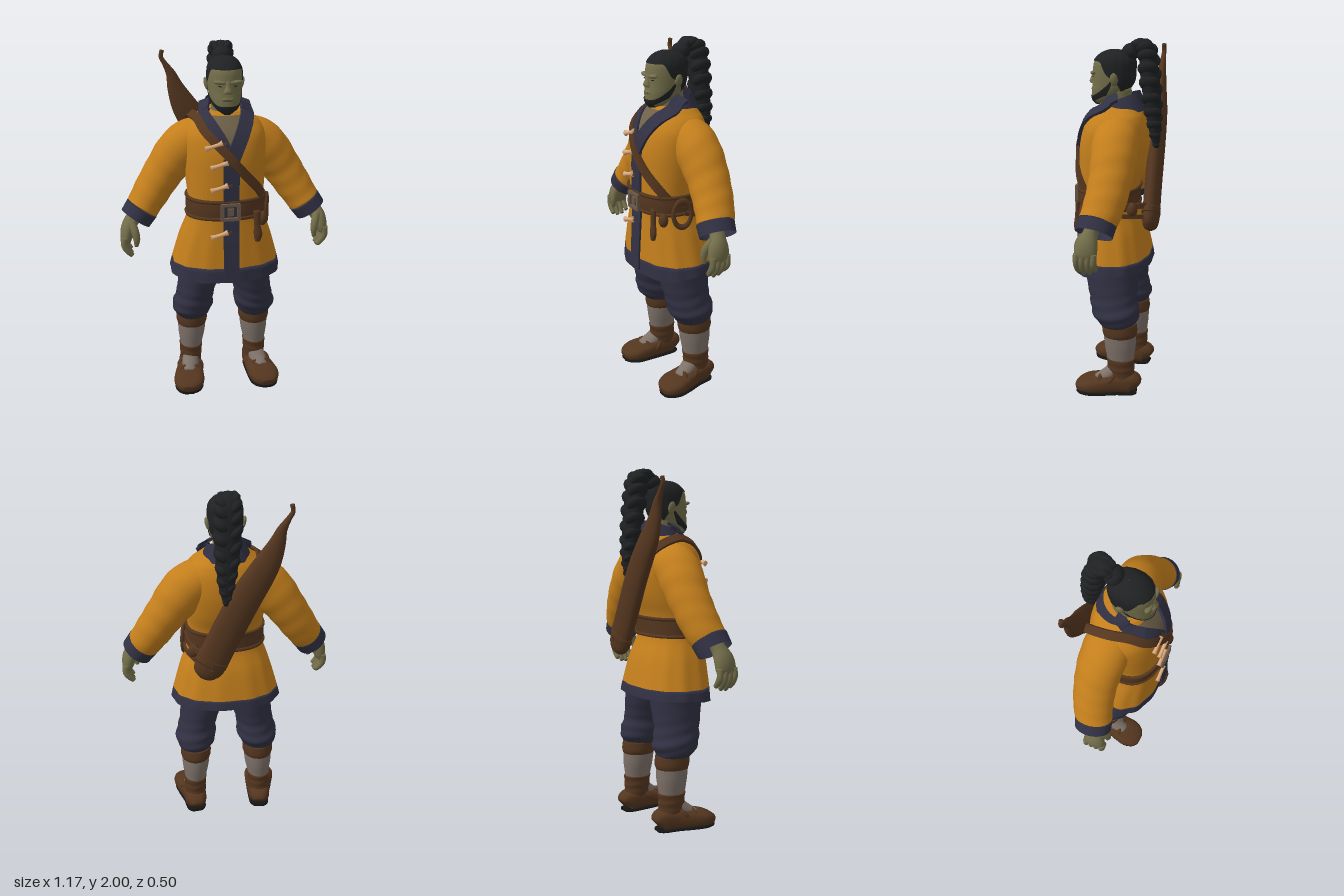
import * as THREE from 'three';
import { mergeVertices } from 'three/addons/utils/BufferGeometryUtils.js';

const V = (x, y, z) => new THREE.Vector3(x, y, z);
const mat = (name, color, side = THREE.FrontSide) => {
  const m = new THREE.MeshStandardMaterial({ color, side });
  m.name = name;
  return m;
};

// Surface from fn(u, v) -> Vector3, welded so that seams stay smooth
function grid(nu, nv, fn) {
  const pos = [], idx = [];
  for (let j = 0; j <= nv; j++) for (let i = 0; i <= nu; i++) pos.push(...fn(i / nu, j / nv, j).toArray());
  for (let j = 0; j < nv; j++) for (let i = 0; i < nu; i++) {
    const a = j * (nu + 1) + i, d = a + nu + 1;
    idx.push(a, a + 1, d + 1, a, d + 1, d);
  }
  let g = new THREE.BufferGeometry();
  g.setAttribute('position', new THREE.Float32BufferAttribute(pos, 3));
  g.setIndex(idx);
  g = mergeVertices(g, 1e-5);
  g.computeVertexNormals();
  return g;
}

// Catmull-Rom refinement of rows of numbers
function dense(rows, sub) {
  const out = [], n = rows.length - 1;
  for (let k = 0; k <= n * sub; k++) {
    const i = Math.min(Math.floor(k / sub), n - 1), t = k / sub - i;
    const [p, q, r, s] = [i - 1, i, i + 1, i + 2].map(m => rows[Math.min(Math.max(m, 0), n)]);
    out.push(q.map((b, c) => b + 0.5 * t * (r[c] - p[c] + t * (2 * p[c] - 5 * b + 4 * r[c] - s[c] + t * (3 * (b - r[c]) + s[c] - p[c])))));
  }
  return out;
}
const sup = (v, n) => Math.sign(v) * Math.pow(Math.abs(v), 2 / n);

// Loft of rows [x, y, z, ra, rb]; rb lies along ref, ra across it. flat keeps rings level (rows bottom-up).
function sweep(rows, { ref = V(0, 0, 1), flat = false, n = 2, seg = 24, sub = 5, cap = [1, 1], fold, warp } = {}) {
  const d = sub > 1 ? dense(rows, sub) : rows;
  const rings = d.map((r, i) => {
    const a = d[Math.max(i - 1, 0)], b = d[Math.min(i + 1, d.length - 1)];
    const T = flat ? V(0, 1, 0) : V(b[0] - a[0], b[1] - a[1], b[2] - a[2]).normalize();
    const A = T.clone().cross(ref).normalize();
    return { c: V(r[0], r[1], r[2]), A, B: A.clone().cross(T), ra: Math.max(r[3], 0.001), rb: Math.max(r[4], 0.001) };
  });
  if (cap[0]) rings.unshift({ ...rings[0], ra: 0, rb: 0 });
  if (cap[1]) rings.push({ ...rings[rings.length - 1], ra: 0, rb: 0 });
  return grid(seg, rings.length - 1, (u, v, j) => {
    const q = rings[j], t = u * Math.PI * 2, k = fold ? fold(t, q.c.y) : 1;
    const p = q.c.clone().addScaledVector(q.A, sup(Math.sin(t), n) * q.ra * k).addScaledVector(q.B, sup(Math.cos(t), n) * q.rb * k);
    return warp ? warp(p) : p;
  });
}
// Level rows [y, zc, rx, rz]
const level = rows => rows.map(([y, z, a, b]) => [0, y, z, a, b]);
function rowAt(D, y) {
  let i = 0;
  while (i < D.length - 2 && D[i + 1][1] < y) i++;
  const t = THREE.MathUtils.clamp((y - D[i][1]) / (D[i + 1][1] - D[i][1]), 0, 1);
  return D[i].map((a, c) => a + (D[i + 1][c] - a) * t);
}
// Flat band along points, facing away from the body axis
function ribbon(pts, w, h, sub = 6) {
  const d = dense(pts, sub);
  const rings = d.map((p, i) => {
    const a = d[Math.max(i - 1, 0)], b = d[Math.min(i + 1, d.length - 1)], c = V(...p);
    const T = V(b[0] - a[0], b[1] - a[1], b[2] - a[2]).normalize();
    const A = T.clone().cross(c.clone().sub(V(0, Math.min(p[1], 1.4), 0.02))).normalize();
    return { c, A, B: A.clone().cross(T) };
  });
  const corners = [[1, 1], [1, -1], [-1, -1], [-1, 1], [1, 1]];
  const g = grid(4, rings.length - 1, (u, v, j) => {
    const [s, t] = corners[Math.round(u * 4)], q = rings[j];
    return q.c.clone().addScaledVector(q.A, -s * w / 2).addScaledVector(q.B, t * h / 2);
  }).toNonIndexed();
  g.computeVertexNormals();
  return g;
}

export function createModel() {
  const root = new THREE.Group();
  root.name = 'warrior';
  const D2 = THREE.DoubleSide;
  const coat = mat('ochre cloth', 0xc47f1c), navy = mat('navy cloth', 0x313144, D2), skin = mat('olive skin', 0x736e4a),
    leather = mat('brown leather', 0x54361f, D2), hair = mat('black hair', 0x1f2122, D2), wrap = mat('grey wraps', 0x7e7269),
    bone = mat('bone', 0xdcaa7c), metal = mat('buckle metal', 0x6a5846), linen = mat('linen', 0x6f6149, D2), sole = mat('sole', 0x141414);
  const add = (name, geo, m, p) => {
    const o = new THREE.Mesh(geo, m);
    o.name = name;
    if (p) o.position.set(...p);
    root.add(o);
    return o;
  };
  const ball = (name, m, p, s, rz = 0) => {
    const o = add(name, new THREE.SphereGeometry(1, 16, 12), m, p);
    o.scale.set(...s);
    o.rotation.z = rz;
    return o;
  };

  // Coat body and hem
  const N = 2.3;
  const body = dense(level([[0.745, 0.025, 0.312, 0.212], [0.8, 0.028, 0.298, 0.206], [0.95, 0.04, 0.255, 0.185], [1.08, 0.058, 0.212, 0.16],
    [1.19, 0.056, 0.21, 0.163], [1.3, 0.037, 0.22, 0.183], [1.42, 0.023, 0.228, 0.192], [1.52, 0.013, 0.225, 0.178], [1.58, 0.003, 0.195, 0.152], [1.615, -0.003, 0.15, 0.13], [1.645, -0.008, 0.11, 0.11]]), 6);
  const fold = (t, y) => 1 + 0.012 * Math.sin(t * 13) * THREE.MathUtils.clamp((1.08 - y) / 0.15, 0, 1);
  const warp = p => {
    if (p.y < 0.8) p.y -= 0.03 * THREE.MathUtils.clamp(p.z / 0.2, 0, 1) * (0.8 - p.y) / 0.055;
    return p;
  };
  const opt = { flat: true, n: N, seg: 72, sub: 1, fold, warp };
  add('coatBody', sweep(body.slice(6), { ...opt, cap: [0, 1] }), coat);
  add('coatHem', sweep(body.slice(0, 7), { ...opt, cap: [0, 1] }), navy);
  const front = (x, y, off) => {
    const r = rowAt(body, y), k = Math.min(Math.abs(x) / r[3], 0.97);
    return [x, y, r[2] + r[4] * Math.pow(1 - Math.pow(k, N), 1 / N) + off];
  };
  const onFront = (pts, off) => dense(pts, 4).map(([x, y]) => front(x, y, off));

  // Shirt opening, front band, lapels and standing collar
  add('undershirt', grid(8, 8, (u, v) => V(...front(-0.015 * (1 - v) + (u - 0.5) * (0.02 + 0.15 * v), 1.44 + 0.19 * v, 0.006))), linen);
  add('shirtCollar', sweep(level([[1.59, 0.005, 0.09, 0.1], [1.635, 0.01, 0.076, 0.085]]), { flat: true }), linen);
  add('frontBand', ribbon(onFront([[0.008, 0.735], [0.006, 0.95], [0.006, 1.2], [0.008, 1.42]], 0.006), 0.085, 0.012, 1), navy);
  const lapel = (s, pts, off) => [...onFront(pts, off), [s * 0.118, 1.638, 0.062], [s * 0.11, 1.672, 0.03], [s * 0.105, 1.69, -0.01]];
  add('lapelRight', ribbon(lapel(-1, [[-0.015, 1.46], [-0.05, 1.53], [-0.095, 1.6]], 0.008), 0.058, 0.014, 2), navy);
  add('lapelLeft', ribbon(lapel(1, [[0.0, 1.39], [0.05, 1.5], [0.1, 1.6]], 0.012), 0.076, 0.016, 2), navy);
  add('collar', grid(40, 6, (u, v) => {
    const t = 0.9 + u * (Math.PI * 2 - 1.8), r = 0.14 - 0.038 * v, c = Math.cos(t);
    return V(Math.sin(t) * r, 1.6 - 0.015 * c + v * (0.08 - 0.02 * c), -0.008 + c * r);
  }), navy);

  // Belt with rims and buckle
  const around = (y0, y1, o) => sweep([y0, (y0 + y1) / 2, y1].map((y, i) => {
    const r = rowAt(body, y), e = o + (i === 1 ? 0.004 : 0);
    return [0, y, r[2], r[3] + e, r[4] + e];
  }), { flat: true, n: N, seg: 64, sub: 3 });
  add('belt', around(1.085, 1.185, 0.008), leather);
  for (const y of [1.078, 1.172]) add('beltRim', around(y, y + 0.018, 0.012), leather);
  for (const s of [-1, 1]) {
    add('buckleSide', new THREE.BoxGeometry(0.018, 0.092, 0.02), metal, [s * 0.045, 1.13, 0.238]);
    add('buckleBar', new THREE.BoxGeometry(0.1, 0.016, 0.02), metal, [0, 1.13 + s * 0.04, 0.238]);
  }
  add('bucklePin', new THREE.BoxGeometry(0.035, 0.04, 0.02), metal, [0, 1.13, 0.235]);

  // Bone toggles
  for (const [x, y] of [[-0.085, 1.49], [-0.06, 1.39], [-0.06, 1.265], [-0.06, 1.0]]) {
    const z = front(x, y, 0.02)[2];
    add('toggle', sweep([[x - 0.046, y - 0.013, z, 0.017, 0.013], [x - 0.02, y - 0.005, z, 0.011, 0.01], [x + 0.02, y + 0.006, z, 0.011, 0.01], [x + 0.046, y + 0.015, z, 0.018, 0.013]], { seg: 12 }), bone);
    add('toggleLoop', ribbon(onFront([[x + 0.03, y + 0.004], [x + 0.07, y + 0.014]], 0.014), 0.012, 0.01, 1), leather);
  }

  // Sleeves, cuffs, hands, legs and shoes
  for (const s of [-1, 1]) {
    const side = s < 0 ? 'Right' : 'Left';
    const m = rows => rows.map(([x, ...r]) => [x * s, ...r]);
    const X = V(s, 0, 0);
    add('sleeve' + side, sweep(m([[0.07, 1.525, -0.01, 0.075, 0.1], [0.165, 1.483, -0.018, 0.115, 0.122], [0.245, 1.41, -0.025, 0.125, 0.124], [0.33, 1.3, -0.026, 0.11, 0.115], [0.41, 1.18, -0.01, 0.1, 0.108], [0.465, 1.095, 0.015, 0.09, 0.1]]),
      { seg: 40, sub: 8, fold: (t, y) => 1 + 0.012 * Math.sin(y * 75 + 2 * Math.cos(t)) }), coat);
    add('cuff' + side, sweep(m([[0.458, 1.106, 0.013, 0.094, 0.104], [0.498, 1.05, 0.022, 0.09, 0.1]]), { seg: 36, cap: [1, 0] }), navy);
    add('hand' + side, sweep(m([[0.475, 1.12, 0.02, 0.04, 0.042], [0.51, 1.06, 0.035, 0.04, 0.042], [0.54, 1.01, 0.047, 0.056, 0.04], [0.552, 0.96, 0.053, 0.06, 0.035], [0.552, 0.93, 0.053, 0.052, 0.024]]), { ref: X }), skin);
    [0, 1, 2, 3].forEach(i => {
      const z = 0.008 + i * 0.03, e = [0.02, 0.003, 0, 0.012][i];
      add('finger' + side, sweep(m([[0.562, 0.965, z, 0.017, 0.02], [0.566, 0.92, z, 0.017, 0.02], [0.55, 0.88 + e / 2, z, 0.016, 0.018], [0.526, 0.846 + e, z, 0.011, 0.013]]), { ref: X, seg: 10 }), skin);
    });
    add('thumb' + side, sweep(m([[0.525, 1.045, 0.07, 0.022, 0.022], [0.508, 1.0, 0.098, 0.023, 0.022], [0.5, 0.955, 0.11, 0.018, 0.019], [0.503, 0.915, 0.108, 0.01, 0.011]]), { ref: X, seg: 12 }), skin);

    add('trouser' + side, sweep(m([[0.185, 0.415, -0.03, 0.082, 0.092], [0.186, 0.44, -0.026, 0.1, 0.112], [0.182, 0.49, -0.018, 0.117, 0.134], [0.168, 0.58, 0, 0.108, 0.134], [0.143, 0.7, 0.01, 0.12, 0.15], [0.13, 0.82, 0.015, 0.13, 0.16]]),
      { flat: true, seg: 40, sub: 8, fold: (t, y) => 1 + 0.025 * Math.sin(y * 90 + 2.5 * Math.sin(t + s)) * THREE.MathUtils.clamp((0.68 - y) / 0.15, 0, 1) }), navy);
    add('legWrap' + side, sweep(m([[0.193, 0.1, -0.05, 0.058, 0.068], [0.192, 0.2, -0.047, 0.062, 0.076], [0.188, 0.3, -0.045, 0.078, 0.09], [0.185, 0.4, -0.04, 0.084, 0.094]]), { flat: true }), wrap);
    add('kneeBand' + side, sweep(m([[0.187, 0.355, -0.042, 0.083, 0.094], [0.186, 0.38, -0.042, 0.09, 0.1], [0.185, 0.43, -0.038, 0.088, 0.098]]), { flat: true }), leather);
    add('ankleWrap' + side, sweep(m([[0.195, 0.05, -0.06, 0.06, 0.07], [0.193, 0.13, -0.052, 0.063, 0.076], [0.193, 0.17, -0.05, 0.065, 0.078], [0.192, 0.215, -0.048, 0.067, 0.081]]),
      { flat: true, fold: (t, y) => 1 + 0.025 * Math.sin(y * 130 + Math.sin(t)) }), leather);
    const shoe = [[0.19, 0.045, -0.145, 0.035, 0.035], [0.193, 0.064, -0.115, 0.06, 0.058], [0.2, 0.064, -0.03, 0.07, 0.058], [0.215, 0.055, 0.06, 0.084, 0.049], [0.226, 0.048, 0.13, 0.088, 0.042], [0.233, 0.038, 0.18, 0.066, 0.031], [0.235, 0.033, 0.203, 0.032, 0.018]];
    add('shoe' + side, sweep(m(shoe), { ref: V(0, 1, 0), n: 2.8 }), leather);
    add('sole' + side, sweep(m(shoe.map(([x, , z, a]) => [x, 0.007, z * 0.985, a * 0.93])).map(r => [...r, 0.007]), { ref: V(0, 1, 0), n: 4 }), sole);
    add('instep' + side, sweep(m([[0.195, 0.15, -0.03, 0.045, 0.045], [0.205, 0.105, 0.02, 0.05, 0.042], [0.217, 0.07, 0.08, 0.042, 0.035]])), wrap);
    for (const [y, z, rx] of [[0.098, 0.01, -0.75], [0.075, 0.075, -0.35]]) {
      const strap = add('shoeStrap' + side, new THREE.TorusGeometry(0.066, 0.014, 8, 28), leather, [s * (0.202 + z * 0.15), y - 0.018, z]);
      strap.rotation.set(rx, 0, s * 0.15);
      strap.scale.y = 0.85;
    }
  }

  // Neck and head
  add('neck', sweep(level([[1.54, 0, 0.085, 0.085], [1.63, 0.01, 0.072, 0.08], [1.73, 0.015, 0.07, 0.077]]), { flat: true }), skin);
  const head = dense(level([[1.642, 0.1, 0.03, 0.035], [1.665, 0.085, 0.06, 0.068], [1.71, 0.058, 0.08, 0.097], [1.76, 0.037, 0.089, 0.112], [1.82, 0.033, 0.091, 0.115], [1.87, 0.028, 0.087, 0.11], [1.905, 0.022, 0.066, 0.082], [1.922, 0.02, 0.036, 0.045], [1.927, 0.02, 0.002, 0.002]]), 5);
  add('head', sweep(head, { flat: true, sub: 1, seg: 36, n: 2.15 }), skin);
  const onHead = (t, y, k, lift = 0) => {
    const r = rowAt(head, y);
    return V(sup(Math.sin(t), 2.15) * r[3] * k, y + lift, r[2] + sup(Math.cos(t), 2.15) * r[4] * k);
  };
  add('hairCap', grid(64, 16, (u, v) => {
    const t = u * Math.PI * 2, c = Math.cos(t), lo = c > 0 ? 1.79 + 0.082 * THREE.MathUtils.smoothstep(c, 0, 0.6) : 1.79 + 0.11 * c;
    return onHead(t, lo + (1.927 - lo) * v, 1.05 + 0.01 * Math.sin(t * 16), 0.006 * v);
  }), hair);
  add('beard', grid(32, 6, (u, v) => {
    const t = (u - 0.5) * 3.3, a = Math.abs(t) / 1.65, lo = 1.643 + 0.05 * a * a, hi = 1.684 + 0.1 * a ** 4;
    return onHead(t, lo + (hi - lo) * v, 1.05);
  }), hair);
  add('beardTip', sweep(level([[1.637, 0.115, 0.02, 0.022], [1.655, 0.105, 0.042, 0.048], [1.68, 0.095, 0.045, 0.058]]), { flat: true }), hair);
  add('nose', sweep([[0, 1.75, 0.146, 0.027, 0.016], [0, 1.763, 0.15, 0.023, 0.019], [0, 1.79, 0.145, 0.014, 0.013], [0, 1.815, 0.141, 0.015, 0.01]], { flat: true, seg: 16 }), skin);
  ball('upperLip', skin, [0, 1.722, 0.146], [0.034, 0.009, 0.011]);
  ball('lowerLip', skin, [0, 1.706, 0.144], [0.032, 0.01, 0.011]);
  ball('mouthLine', hair, [0, 1.714, 0.15], [0.028, 0.0015, 0.005]);
  for (const s of [-1, 1]) {
    ball('brow', skin, [s * 0.036, 1.808, 0.135], [0.04, 0.012, 0.018], s * 0.1);
    ball('eye', hair, [s * 0.037, 1.788, 0.138], [0.016, 0.003, 0.005], s * 0.08);
    ball('ear', skin, [s * 0.095, 1.782, 0.012], [0.013, 0.036, 0.022], -s * 0.25);
  }

  // Topknot and braid, rows [x, y, z, half width, half depth]
  ball('topknot', hair, [0, 1.92, -0.06], [0.055, 0.045, 0.05]);
  const braid = dense([[0, 1.93, -0.075, 0.042, 0.036], [0.002, 1.958, -0.105, 0.052, 0.038], [0.006, 1.925, -0.15, 0.07, 0.05], [0.01, 1.8, -0.165, 0.078, 0.056], [0.015, 1.64, -0.184, 0.066, 0.05], [0.02, 1.51, -0.198, 0.045, 0.036], [0.02, 1.41, -0.207, 0.016, 0.015]], 4);
  add('braidCore', sweep(braid.map(([x, y, z, w, d]) => [x, y, z, d * 0.9, w * 0.9]), { ref: V(1, 0, 0), sub: 1, seg: 16 }), hair);
  braid.forEach(([x, y, z, w, d], i) => {
    const s = i % 2 ? 1 : -1;
    ball('braidLock', hair, [x + s * w * 0.4, y, z], [w * 0.72, d * 0.65, d * 1.04], s * 0.75);
  });

  // Quiver with curved horn tip, base and straps to the belt
  add('quiver', sweep([[0.135, 0.995, -0.2, 0.06, 0.038], [0.115, 1.04, -0.2, 0.086, 0.046], [0.04, 1.2, -0.197, 0.09, 0.046], [-0.07, 1.42, -0.195, 0.088, 0.045], [-0.16, 1.57, -0.19, 0.078, 0.042], [-0.205, 1.65, -0.185, 0.066, 0.036], [-0.24, 1.73, -0.183, 0.046, 0.028],
    [-0.264, 1.805, -0.183, 0.027, 0.021], [-0.295, 1.86, -0.183, 0.015, 0.015], [-0.316, 1.898, -0.183, 0.012, 0.012], [-0.31, 1.935, -0.183, 0.012, 0.012]], { sub: 6 }), leather);
  add('quiverRim', sweep([[0.108, 1.059, -0.198, 0.092, 0.05], [0.092, 1.091, -0.198, 0.092, 0.05]]), leather);
  ball('quiverEnd', leather, [0.13, 1.01, -0.2], [0.064, 0.04, 0.042], 0.5);
  ball('strapKnot', leather, [0.19, 1.1, -0.11], [0.032, 0.04, 0.03]);
  add('quiverStrap', ribbon([[0.05, 1.2, -0.235], [0.14, 1.13, -0.2], [0.205, 1.12, -0.08], [0.228, 1.14, 0.06]], 0.03, 0.014), leather);
  add('lowerStrap', ribbon([[0.1, 1.05, -0.245], [0.17, 1.06, -0.17], [0.225, 1.07, -0.05], [0.235, 1.09, 0.05]], 0.022, 0.014), leather);

  // Shoulder strap across the chest
  add('shoulderStrap', ribbon([[-0.1, 1.46, -0.185], [-0.165, 1.56, -0.145], [-0.178, 1.618, -0.02], [-0.152, 1.608, 0.08], front(-0.125, 1.56, 0.012), front(-0.07, 1.5, 0.014),
    front(0.01, 1.415, 0.018), front(0.09, 1.32, 0.012), front(0.16, 1.24, 0.012), front(0.205, 1.15, 0.012)], 0.048, 0.016), leather);

  // Hip loop, pouch and tool hanging from the belt
  const loop = add('hipLoop', new THREE.TorusGeometry(0.05, 0.012, 8, 24), leather, [0.23, 1.09, 0.07]);
  loop.rotation.y = 1.3;
  loop.scale.y = 1.5;
  add('beltTool', sweep([[0.155, 0.945, 0.21, 0.014, 0.012], [0.157, 0.985, 0.21, 0.024, 0.016], [0.152, 1.04, 0.206, 0.018, 0.014], [0.15, 1.12, 0.204, 0.02, 0.014]], { flat: true, seg: 14 }), leather);
  ball('beltPouch', leather, [0.19, 1.06, 0.165], [0.028, 0.04, 0.026]);
  return root;
}
